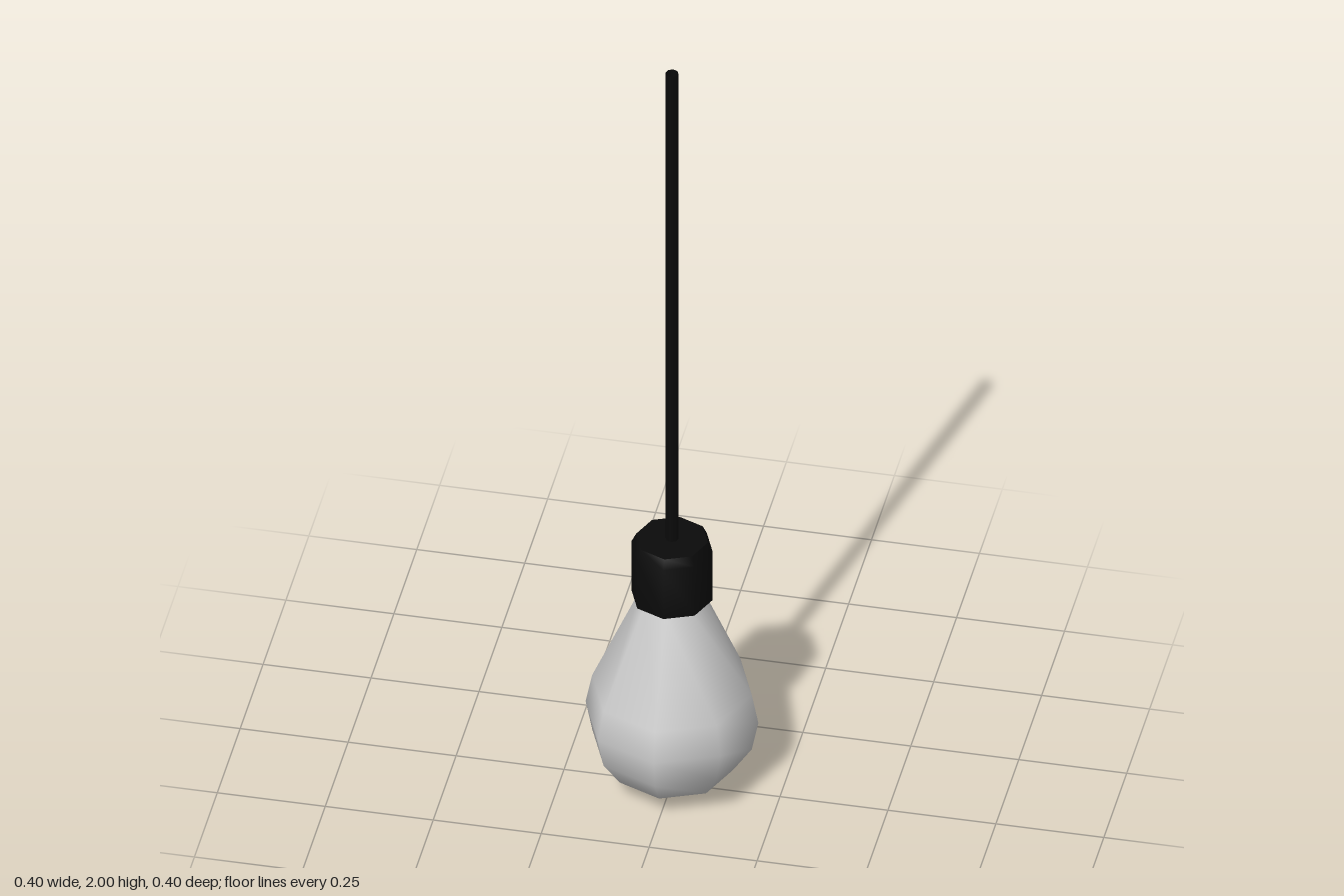
import * as THREE from 'three';
import { toCreasedNormals } from 'three/addons/utils/BufferGeometryUtils.js';

const SIDES = 8;

// Revolve a bottom-to-top profile of [radius, y] pairs
function turned(name, profile, material, crease) {
  const points = profile.map(([r, y]) => new THREE.Vector2(r, y));
  let geometry = new THREE.LatheGeometry(points, SIDES);
  if (crease) geometry = toCreasedNormals(geometry, crease);
  const mesh = new THREE.Mesh(geometry, material);
  mesh.name = name;
  return mesh;
}

export function createModel() {
  const group = new THREE.Group();
  group.name = 'hangingBulb';
  const glass = new THREE.MeshStandardMaterial({ color: 0xcccccc, side: THREE.DoubleSide });
  const black = new THREE.MeshStandardMaterial({ color: 0x0a0a0a, side: THREE.DoubleSide });

  // Glass bulb: round lower part, then a straight taper to an open neck
  const R = 0.2;
  const bulb = [];
  for (let i = 0; i <= 5; i++) {
    const a = (i * Math.PI) / 8;
    bulb.push([R * Math.sin(a), R - R * Math.cos(a)]);
  }
  bulb.push([0.075, 0.53]);
  group.add(turned('bulb', bulb, glass));

  // Socket: bevelled top with a hole for the cord
  const cordRadius = 0.015;
  group.add(turned('socket', [
    [0.075, 0.53], [0.094, 0.53], [0.094, 0.667], [0.083, 0.69], [cordRadius, 0.69],
  ], black, Math.PI / 3.5));

  // Cord: open tube
  group.add(turned('cord', [[cordRadius, 0.69], [cordRadius, 2]], black));

  return group;
}
